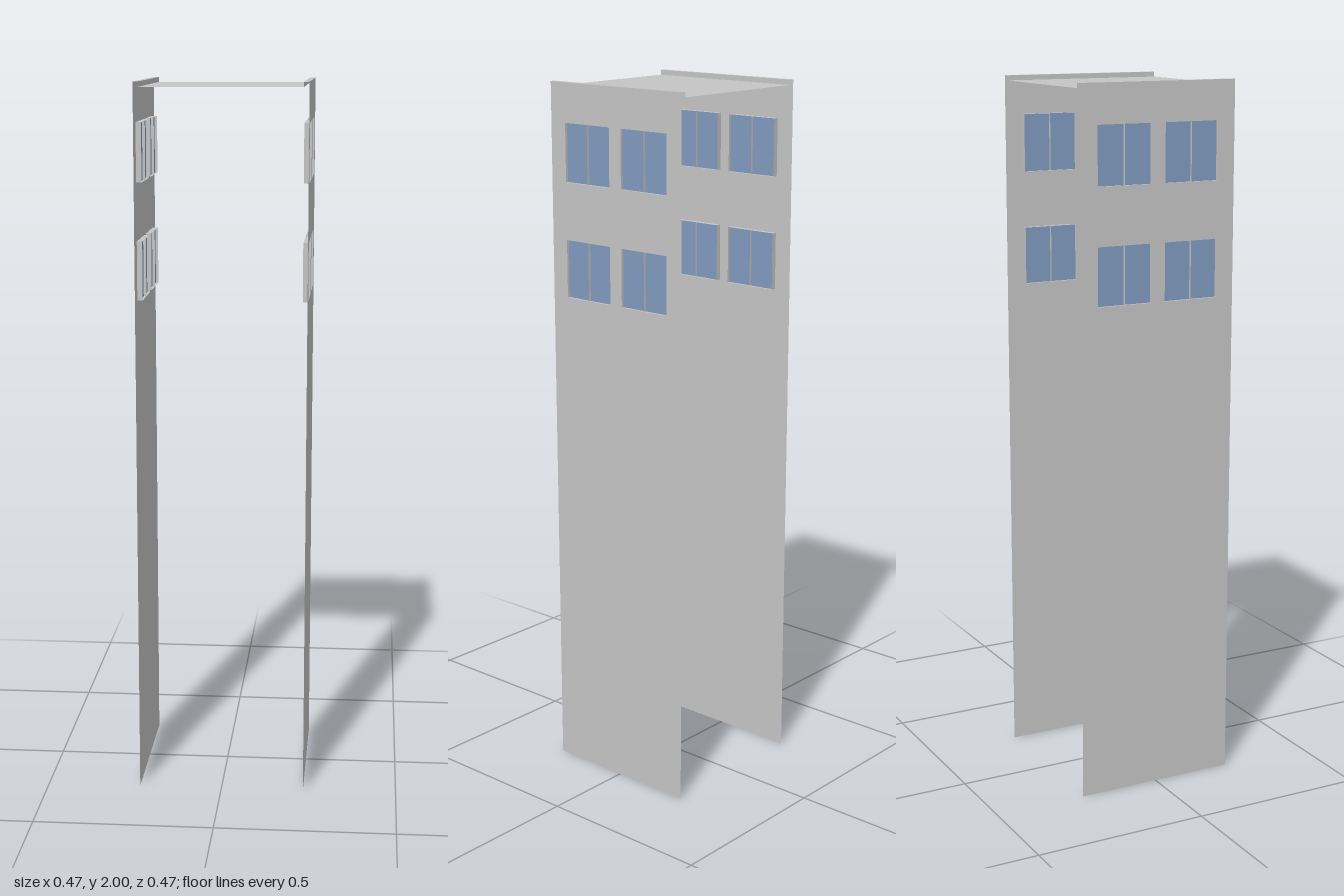
import * as THREE from 'three';

const HALF = 0.235;    // outer half width and half depth
const INNER = 0.22;    // inner face of the parapet and window frames
const ROOF_Y = 1.986;
const WIN = 0.162;     // window size
const ROWS = [1.488, 1.81];
const COLS = [-0.102, 0.102];

export function createModel() {
  const concrete = new THREE.MeshStandardMaterial({ color: 0xc5c5c6, side: THREE.DoubleSide });
  concrete.name = 'concrete';
  const glass = new THREE.MeshStandardMaterial({ color: 0x819bbf, side: THREE.DoubleSide });
  glass.name = 'glass';

  const model = new THREE.Group();
  model.name = 'towerShell';

  // Flat sheet: w along its local x, h along its local y
  const sheet = (name, material, w, h, pos, rot, parent) => {
    const mesh = new THREE.Mesh(new THREE.PlaneGeometry(w, h), material);
    mesh.name = name;
    mesh.position.set(...pos);
    mesh.rotation.set(...rot);
    parent.add(mesh);
  };
  const FLAT = [-Math.PI / 2, 0, 0];
  const SIDE = [0, Math.PI / 2, 0];

  // Side wall outline with square window openings
  const outline = new THREE.Shape([
    new THREE.Vector2(-HALF, 0), new THREE.Vector2(HALF, 0),
    new THREE.Vector2(HALF, 2), new THREE.Vector2(-HALF, 2),
  ]);
  const r = WIN / 2;
  for (const y of ROWS) for (const z of COLS) {
    outline.holes.push(new THREE.Path([
      new THREE.Vector2(z - r, y - r), new THREE.Vector2(z - r, y + r),
      new THREE.Vector2(z + r, y + r), new THREE.Vector2(z + r, y - r),
    ]));
  }
  const wallGeometry = new THREE.ShapeGeometry(outline);

  const depth = HALF - INNER;
  const mid = (HALF + INNER) / 2;

  // Recessed window: four reveals, a thin mullion and the pane
  function addWindow(parent, y, z) {
    const win = new THREE.Group();
    win.name = 'window';
    win.position.set(mid, y, z);
    for (const s of [-1, 1]) {
      sheet('horizontalReveal', concrete, depth, WIN, [0, s * r, 0], FLAT, win);
      sheet('verticalReveal', concrete, depth, WIN, [0, 0, s * r], [0, 0, 0], win);
    }
    sheet('mullion', concrete, depth, WIN, [0, 0, 0], [0, 0, 0], win);
    sheet('pane', glass, WIN, WIN, [0, 0, 0], SIDE, win);
    parent.add(win);
  }

  // Two matching sides, each with wall, parapet and windows
  for (const turn of [0, Math.PI]) {
    const side = new THREE.Group();
    side.name = turn ? 'rightSide' : 'leftSide';
    const wall = new THREE.Mesh(wallGeometry, concrete);
    wall.name = 'wall';
    wall.position.x = HALF;
    wall.rotation.y = Math.PI / 2;
    side.add(wall);
    sheet('parapetCap', concrete, depth, 2 * HALF, [mid, 2, 0], FLAT, side);
    sheet('parapetInnerFace', concrete, 2 * HALF, 2 - ROOF_Y, [INNER, (2 + ROOF_Y) / 2, 0], SIDE, side);
    for (const y of ROWS) for (const z of COLS) addWindow(side, y, z);
    side.rotation.y = turn;
    model.add(side);
  }

  // Roof between the parapets
  sheet('roof', concrete, 2 * INNER, 2 * HALF, [0, ROOF_Y, 0], FLAT, model);
  return model;
}
